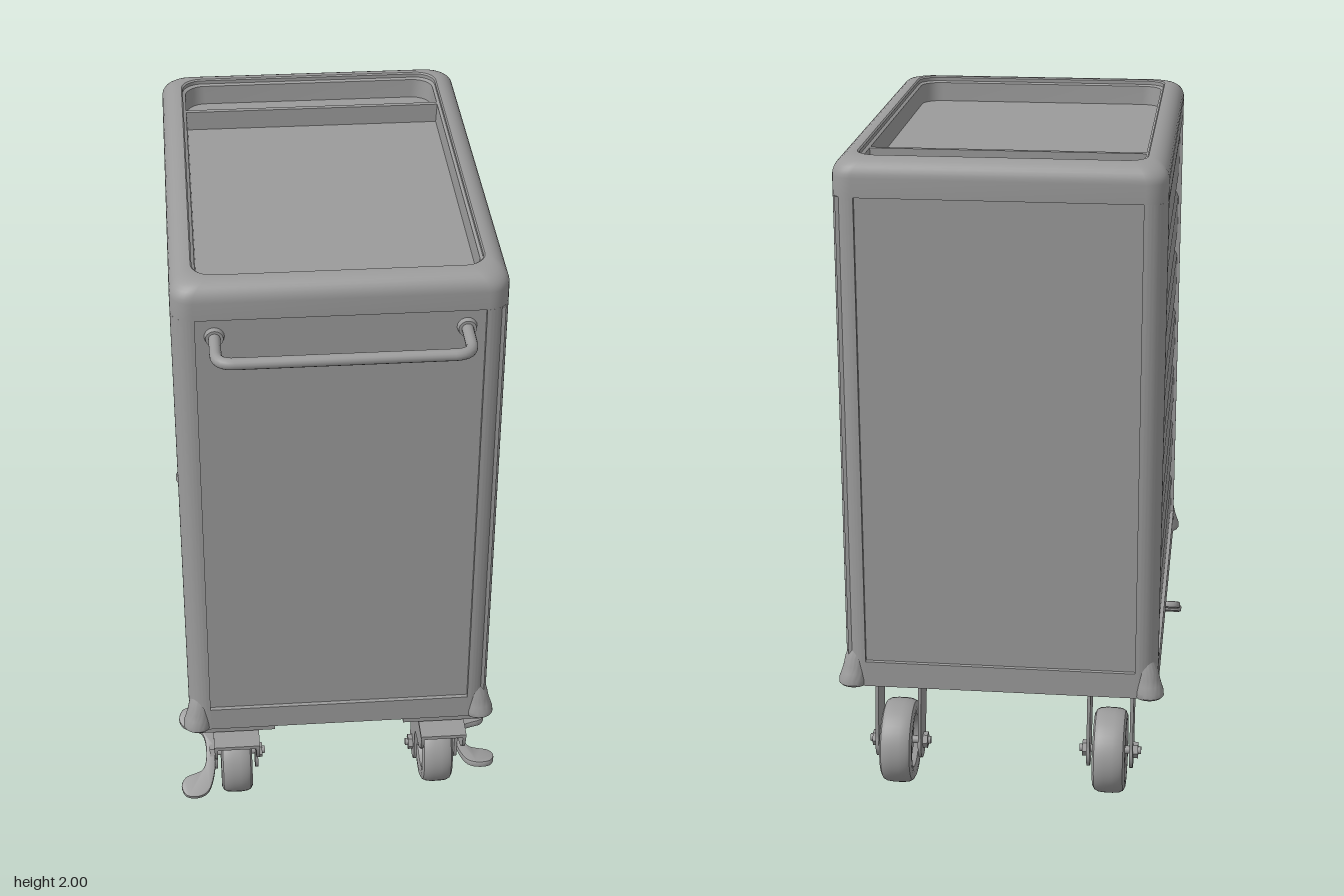
import * as THREE from 'three';
import { toCreasedNormals } from 'three/addons/utils/BufferGeometryUtils.js';

const material = new THREE.MeshStandardMaterial({ color: 0x9b9b9b });

// Cabinet limits
const HX = 0.472, Z0 = -0.757, Z1 = 0.62, ZC = (Z0 + Z1) / 2, HZ = (Z1 - Z0) / 2;
const BOTTOM = 0.385, RAIL = 0.465, CAP = 1.89, EDGE = 0.067, RECESS = 0.013;

function add(parent, name, geometry, x = 0, y = 0, z = 0) {
  const mesh = new THREE.Mesh(geometry, material);
  mesh.name = name;
  mesh.position.set(x, y, z);
  parent.add(mesh);
  return mesh;
}

// Box given by its limits
function slab(parent, name, x0, x1, y0, y1, z0, z1) {
  return add(parent, name, new THREE.BoxGeometry(x1 - x0, y1 - y0, z1 - z0),
    (x0 + x1) / 2, (y0 + y1) / 2, (z0 + z1) / 2);
}

// Skin over horizontal rounded rectangles, closed at both ends
function loft(rings) {
  const seg = 8, n = 4 * (seg + 1), pos = [], index = [];
  for (const { cx, cz, hx, hz, r, y } of rings) {
    for (let q = 0; q < 4; q++) {
      const sx = q === 0 || q === 3 ? 1 : -1, sz = q < 2 ? 1 : -1;
      for (let k = 0; k <= seg; k++) {
        const a = (q + k / seg) * Math.PI / 2;
        pos.push(cx + sx * (hx - r) + r * Math.cos(a), y, cz + sz * (hz - r) + r * Math.sin(a));
      }
    }
  }
  const last = (rings.length - 1) * n, c0 = rings.length * n;
  for (const g of [rings[0], rings[rings.length - 1]]) pos.push(g.cx, g.y, g.cz);
  for (let j = 0; j < n; j++) {
    const k = (j + 1) % n;
    for (let i = 0; i < last; i += n) index.push(i + j, i + n + j, i + k, i + n + j, i + n + k, i + k);
    index.push(c0, j, k, c0 + 1, last + k, last + j);
  }
  const geo = new THREE.BufferGeometry();
  geo.setAttribute('position', new THREE.Float32BufferAttribute(pos, 3));
  geo.setIndex(index);
  return toCreasedNormals(geo, 0.6);
}

function extrude(shape, depth, options = {}) {
  return toCreasedNormals(new THREE.ExtrudeGeometry(shape,
    { depth, bevelEnabled: false, curveSegments: 10, ...options }), 0.6);
}

const vectors = (points) => points.map(([x, y]) => new THREE.Vector2(x, y));

function createCabinet() {
  const g = new THREE.Group();
  g.name = 'cabinet';
  const inX = HX - RECESS, px = HX - EDGE;

  // Recessed walls, open towards the drawers on one side
  slab(g, 'cabinetWalls', -0.4, inX, BOTTOM, CAP, Z0 + RECESS, Z1 - RECESS);
  for (const [a, b] of [[Z0 + RECESS, Z0 + EDGE], [Z1 - EDGE, Z1 - RECESS]])
    slab(g, 'drawerSideWall', -px, -0.4, BOTTOM, CAP, a, b);

  // Bottom rails
  slab(g, 'bottomRailAcross', -px, px, BOTTOM, RAIL, Z0, Z1);
  slab(g, 'bottomRailAlong', -HX, HX, BOTTOM, RAIL, Z0 + EDGE, Z1 - EDGE);

  // Rounded corner posts with flared bumper feet
  for (const sx of [1, -1]) for (const sz of [1, -1]) {
    const r = 0.062, h = EDGE / 2, cx = sx * (HX - h), cz = ZC + sz * (HZ - h);
    const post = new THREE.Shape();
    post.moveTo(0, 0);
    post.lineTo(sx * EDGE, 0);
    post.absarc(sx * (EDGE - r), -sz * (EDGE - r), r, sx > 0 ? 0 : Math.PI, -sz * Math.PI / 2, sx * sz > 0);
    post.lineTo(0, -sz * EDGE);
    add(g, 'cornerPost', extrude(post, CAP - BOTTOM).rotateX(-Math.PI / 2),
      sx * px, BOTTOM, ZC + sz * (HZ - EDGE));
    const ring = (y, out) => ({ cx: cx + sx * out / 2, cz: cz + sz * out / 2,
      hx: h + out / 2, hz: h + out / 2, r: h + out / 2 - 0.002, y });
    add(g, 'bumperFoot', loft([ring(BOTTOM, 0.014), ring(BOTTOM + 0.006, 0.019), ring(0.405, 0.018),
      ring(0.425, 0.011), ring(0.445, 0.005), ring(0.47, 0), ring(0.5, -0.012)]));
  }

  // Drawer fronts with sloped finger grips
  const count = 7, pitch = (CAP - RAIL) / count;
  const front = new THREE.Shape(vectors([[-0.395, 0], [-0.455, 0], [-0.462, 0.008], [-0.462, 0.125],
    [-0.434, 0.188], [-0.42, 0.188], [-0.42, pitch], [-0.395, pitch]]));
  for (let i = 0; i < count; i++)
    add(g, 'drawerFront', extrude(front, 2 * (HZ - EDGE)), 0, RAIL + i * pitch, Z0 + EDGE);

  // Rounded top cap running over the rim and down into the tray
  const profile = [[0, CAP]];
  for (let i = 0; i <= 8; i++) {
    const a = i / 8 * Math.PI / 2;
    profile.push([0.055 * (1 - Math.cos(a)), 1.945 + 0.055 * Math.sin(a)]);
  }
  profile.push([0.062, 2], [0.066, 1.996], [0.066, 1.985], [0.074, 1.98], [0.077, 1.92]);
  add(g, 'topTray', loft(profile.map(([d, y]) =>
    ({ cx: 0, cz: ZC, hx: HX - d, hz: HZ - d, r: 0.062, y }))));
  slab(g, 'trayDivider', -0.398, 0.398, 1.915, 1.98, -0.511, -0.495);
  return g;
}

function createHandle() {
  const g = new THREE.Group();
  g.name = 'pushHandle';
  const w = 0.352, y = 1.832, z = 0.752, r = 0.05;
  const path = new THREE.CurvePath();
  const v = (x, zz) => new THREE.Vector3(x, y, zz);
  path.add(new THREE.LineCurve3(v(-w, Z1 - 0.02), v(-w, z - r)));
  path.add(new THREE.QuadraticBezierCurve3(v(-w, z - r), v(-w, z), v(-w + r, z)));
  path.add(new THREE.LineCurve3(v(-w + r, z), v(w - r, z)));
  path.add(new THREE.QuadraticBezierCurve3(v(w - r, z), v(w, z), v(w, z - r)));
  path.add(new THREE.LineCurve3(v(w, z - r), v(w, Z1 - 0.02)));
  add(g, 'handleBar', new THREE.TubeGeometry(path, 90, 0.017, 14));
  for (const s of [-1, 1])
    add(g, 'handleSocket', new THREE.CylinderGeometry(0.025, 0.029, 0.018, 20).rotateX(Math.PI / 2),
      s * w, y, Z1 - 0.007);
  return g;
}

// Caster with its axle at local z = 0; side is the outward x direction
function createCaster(side, braked) {
  const g = new THREE.Group();
  g.name = braked ? 'brakedCaster' : 'caster';
  const axleY = 0.135;

  // Mounting plate, swivel bearing and fork crown
  slab(g, 'mountingPlate', -0.123, 0.123, 0.364, 0.388, -0.088, 0.155);
  add(g, 'swivelBearing', new THREE.CylinderGeometry(0.055, 0.06, 0.022, 24), 0, 0.357, 0.035);
  slab(g, 'forkCrown', -0.072, 0.072, 0.346, 0.358, -0.027, braked ? 0.222 : 0.106);

  // Fork cheeks; the braked ones carry a housing to the front
  const cheek = new THREE.Shape();
  cheek.moveTo(-0.027, 0.358);
  cheek.lineTo(-0.05, axleY + 0.03);
  cheek.absarc(0, axleY, 0.055, Math.PI * 0.85, Math.PI * 2.1, false);
  if (braked) {
    cheek.lineTo(0.06, 0.24);
    cheek.lineTo(0.15, 0.262);
    cheek.quadraticCurveTo(0.222, 0.28, 0.222, 0.358);
  } else cheek.lineTo(0.106, 0.358);
  for (const s of [-1, 1])
    add(g, 'forkCheek', extrude(cheek, 0.01).rotateY(-Math.PI / 2), s * 0.066 + 0.005, 0, 0);

  // Wheel with rounded tyre and dished hub
  const half = [[0.0, 0.035], [0.04, 0.035], [0.043, 0.028], [0.078, 0.028], [0.083, 0.044],
    [0.098, 0.05], [0.112, 0.05], [0.123, 0.044], [0.129, 0.032], [0.131, 0.012]];
  const outline = [...vectors(half.map(([r, x]) => [r, -x])), ...vectors(half).reverse()];
  add(g, 'wheel', toCreasedNormals(new THREE.LatheGeometry(outline, 40), 0.6)
    .rotateZ(Math.PI / 2), 0, axleY - 0.003, 0);

  // Axle and hexagonal nuts
  const rod = (r, l, n) => new THREE.CylinderGeometry(r, r, l, n).rotateZ(Math.PI / 2);
  add(g, 'axle', rod(0.012, 0.19, 16), 0, axleY, 0);
  for (const s of [-1, 1]) add(g, 'axleNut', toCreasedNormals(rod(0.025, 0.016, 6), 0.5), s * 0.078, axleY, 0);

  // Foot pedal with two rounded lobes on the outer side
  if (braked) {
    const lobe = [[0.03, 0.07], [0.09, 0.08], [0.135, 0.098], [0.151, 0.13], [0.145, 0.165],
      [0.115, 0.178], [0.09, 0.165], [0.078, 0.135], [0.065, 0.108], [0.03, 0.095]];
    const points = [...lobe, ...lobe.map(([u, w]) => [-u, w]).reverse(), lobe[0]];
    const outer = new THREE.SplineCurve(vectors(points.map(([u, w]) => [u, side * w]))).getPoints(80);
    const pedal = extrude(new THREE.Shape(outer.slice(0, -1)), 0.012,
      { bevelEnabled: true, bevelSize: 0.004, bevelThickness: 0.005, bevelSegments: 2 });
    pedal.translate(0, 0, -0.006).applyMatrix4(new THREE.Matrix4().makeBasis(
      new THREE.Vector3(0, 0, 1), new THREE.Vector3(1, 0, 0), new THREE.Vector3(0, 1, 0)));
    const mesh = add(g, 'brakePedal', pedal, 0, axleY + 0.002, 0);
    mesh.rotation.x = side > 0 ? -0.15 : 0.48;
  }
  return g;
}

export function createModel() {
  const model = new THREE.Group();
  model.name = 'toolTrolley';
  model.add(createCabinet(), createHandle());
  for (const side of [1, -1]) for (const braked of [true, false]) {
    const caster = createCaster(side, braked);
    caster.position.set(side * 0.327, 0, braked ? 0.457 : -0.613);
    model.add(caster);
  }
  return model;
}
